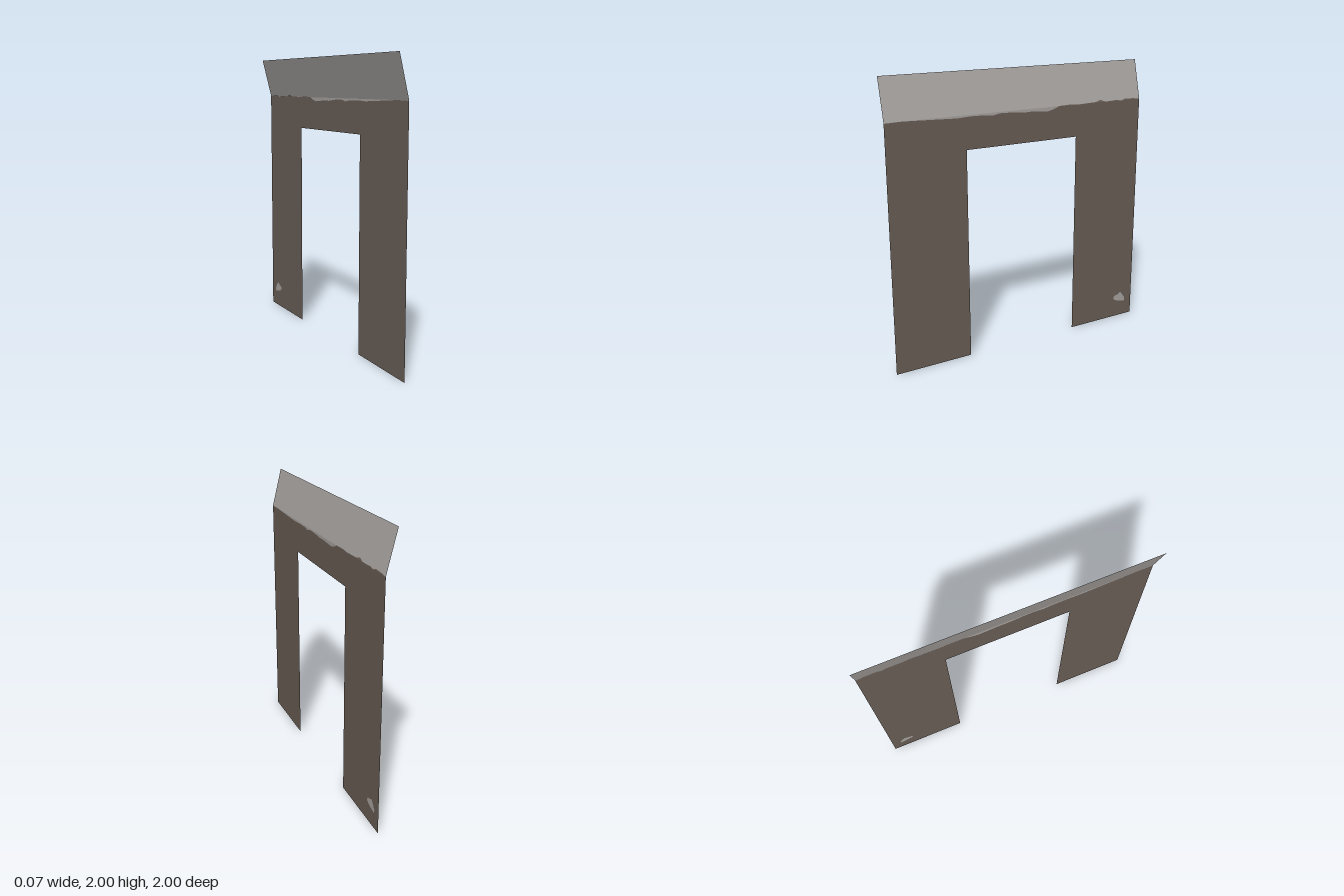
import * as THREE from 'three';

const FACE_X = 0.035;   // plane of the upright sheet
const FOLD_Y = 1.72;    // height of the fold
const TOP_Y = 2;
const BAND_Y = 1.68;    // where the torn plaster band starts

// Upright below the fold, leaning back above it
const sheetX = (y) => FACE_X - 2 * FACE_X * Math.max(0, (y - FOLD_Y) / (TOP_Y - FOLD_Y));

// Ragged edge between the two colours: [distance along the wall, height]
const TEAR = [
  [-1, 1.717], [-0.88, 1.72], [-0.7, 1.713], [-0.62, 1.71], [-0.5, 1.705], [-0.4, 1.71],
  [-0.3, 1.708], [-0.24, 1.7], [-0.18, 1.711], [-0.1, 1.709], [0, 1.699], [0.06, 1.701],
  [0.2, 1.692], [0.25, 1.704], [0.29, 1.721], [0.4, 1.724], [0.45, 1.718], [0.6, 1.723],
  [0.645, 1.735], [0.69, 1.72], [0.8, 1.724], [0.83, 1.715], [0.87, 1.728], [0.95, 1.725], [1, 1.715],
];

// Worn spot near the foot of one leg
const SPOT = [
  [0.835, 0.17], [0.875, 0.18], [0.895, 0.193], [0.92, 0.165],
  [0.94, 0.135], [0.935, 0.112], [0.9, 0.118], [0.86, 0.128], [0.83, 0.145],
].map(([u, y]) => new THREE.Vector2(u, y));

// Flat shape in the wall plane, facing +x
function flatPanel(shape) {
  return new THREE.ShapeGeometry(shape).rotateY(Math.PI / 2).translate(FACE_X, 0, 0);
}

// Strip along the wall; rowsAt(tearHeight) lists its heights from bottom to top
function ribbon(rowsAt) {
  const pos = [];
  const point = (u, y) => pos.push(sheetX(y), y, -u);
  for (let i = 0; i < TEAR.length - 1; i++) {
    const [u0, t0] = TEAR[i], [u1, t1] = TEAR[i + 1];
    const a = rowsAt(t0), b = rowsAt(t1);
    for (let r = 0; r < a.length - 1; r++) {
      point(u0, a[r]); point(u1, b[r]); point(u1, b[r + 1]);
      point(u0, a[r]); point(u1, b[r + 1]); point(u0, a[r + 1]);
    }
  }
  const g = new THREE.BufferGeometry();
  g.setAttribute('position', new THREE.Float32BufferAttribute(pos, 3));
  g.computeVertexNormals();
  return g;
}

export function createModel() {
  const model = new THREE.Group();
  model.name = 'doorwayWall';

  const plaster = new THREE.MeshStandardMaterial({ color: 0x6b5f57, side: THREE.DoubleSide });
  plaster.name = 'brownPlaster';
  const stone = new THREE.MeshStandardMaterial({ color: 0xa9a5a2, side: THREE.DoubleSide });
  stone.name = 'greyStone';

  const add = (name, geometry, material) => {
    const mesh = new THREE.Mesh(geometry, material);
    mesh.name = name;
    model.add(mesh);
  };

  // Wall with its doorway, and an opening for the worn spot
  const wall = new THREE.Shape([
    [-1, 0], [-0.435, 0], [-0.435, 1.49], [0.435, 1.49],
    [0.435, 0], [1, 0], [1, BAND_Y], [-1, BAND_Y],
  ].map(([u, y]) => new THREE.Vector2(u, y)));
  wall.holes.push(new THREE.Path(SPOT));
  add('wall', flatPanel(wall), plaster);
  add('wornSpot', flatPanel(new THREE.Shape(SPOT)), stone);

  // Torn plaster edge and the leaning top above it
  add('tornEdge', ribbon((t) => [BAND_Y, Math.min(t, FOLD_Y), t]), plaster);
  add('leaningTop', ribbon((t) => [t, Math.max(t, FOLD_Y), TOP_Y]), stone);

  return model;
}
